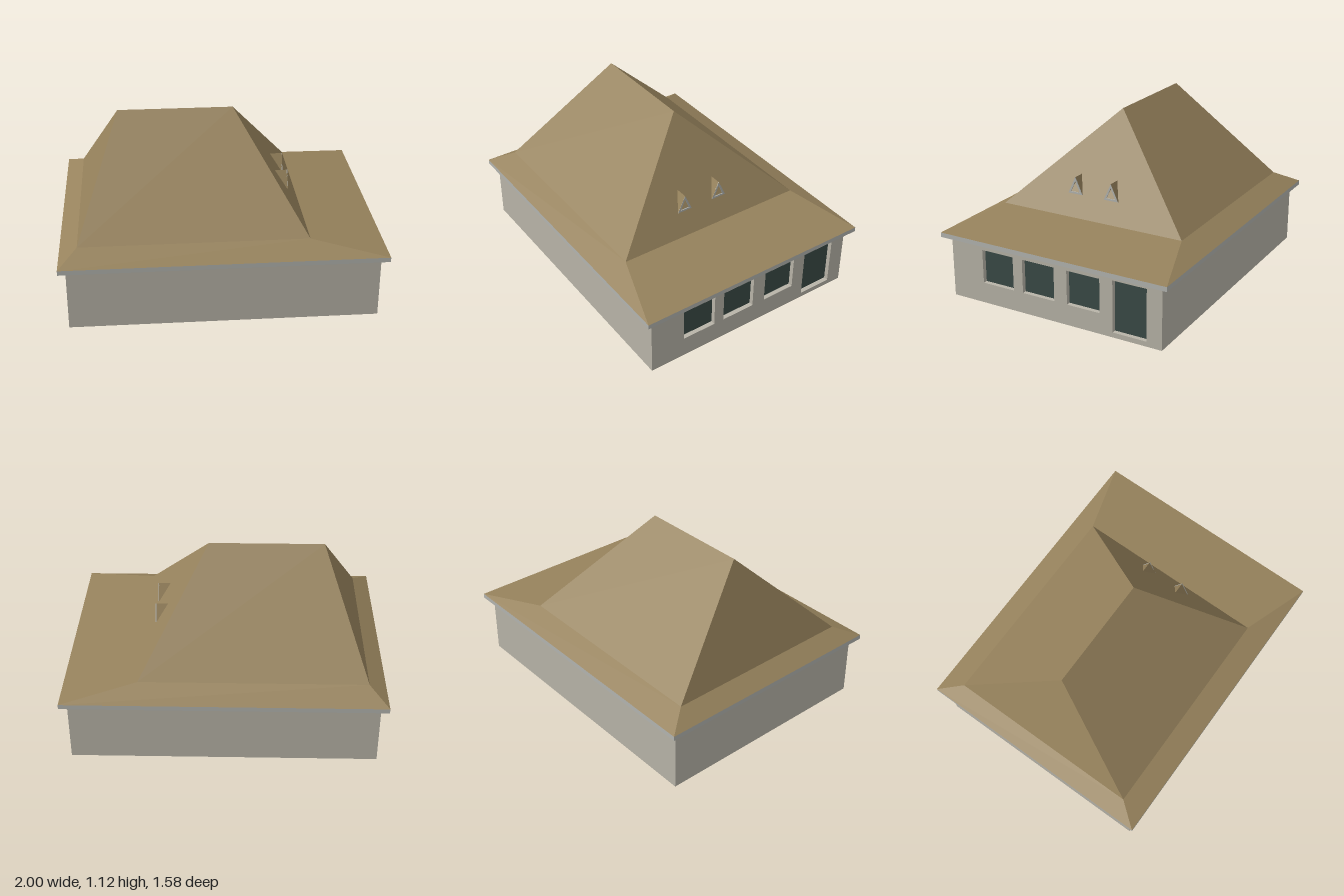
import * as THREE from 'three';

const wallMat = new THREE.MeshStandardMaterial({ color: 0xb8b4a8, side: THREE.DoubleSide });
const trimMat = new THREE.MeshStandardMaterial({ color: 0xb4b5b0, side: THREE.DoubleSide });
const roofMat = new THREE.MeshStandardMaterial({ color: 0x96825c, side: THREE.DoubleSide, flatShading: true });
const glassMat = new THREE.MeshStandardMaterial({ color: 0x3a4a46, side: THREE.DoubleSide });

// Flat polygons (3 or 4 corners, counter-clockwise from outside) as one geometry
function polygons(faces) {
  const pos = [];
  for (const f of faces)
    for (let i = 1; i < f.length - 1; i++) pos.push(...f[0], ...f[i], ...f[i + 1]);
  const g = new THREE.BufferGeometry();
  g.setAttribute('position', new THREE.Float32BufferAttribute(pos, 3));
  g.computeVertexNormals();
  return g;
}

function outline(points, Type = THREE.Shape) {
  return new Type(points.map(([x, y]) => new THREE.Vector2(x, y)));
}

const rect = (x0, y0, x1, y1) => [[x0, y0], [x1, y0], [x1, y1], [x0, y1]];

function add(parent, name, geometry, material) {
  const mesh = new THREE.Mesh(geometry, material);
  mesh.name = name;
  parent.add(mesh);
  return mesh;
}

// Extrude a drawing made in (-z, y) so that its front face lies at the given x
function extrudeToX(shape, depth, x) {
  return new THREE.ExtrudeGeometry(shape, { depth, bevelEnabled: false })
    .rotateY(Math.PI / 2).translate(x - depth, 0, 0);
}

const WX = 0.955, WZ = 0.74, WALL_TOP = 0.4, EAVE = 0.43, RECESS = 0.035;

// Openings in the entrance wall: [-z start, bottom, -z end, top]
const openings = [
  ['window', -0.51, 0.135, -0.283, 0.355],
  ['window', -0.215, 0.135, 0.012, 0.355],
  ['window', 0.102, 0.135, 0.328, 0.355],
  ['door', 0.415, 0.032, 0.64, 0.365],
];

function buildWalls(group) {
  const xi = WX - RECESS;
  add(group, 'plainWalls', polygons([
    [[-WX, 0, WZ], [xi, 0, WZ], [xi, WALL_TOP, WZ], [-WX, WALL_TOP, WZ]],
    [[xi, 0, -WZ], [-WX, 0, -WZ], [-WX, WALL_TOP, -WZ], [xi, WALL_TOP, -WZ]],
    [[-WX, 0, -WZ], [-WX, 0, WZ], [-WX, WALL_TOP, WZ], [-WX, WALL_TOP, -WZ]],
  ]), wallMat);

  const shape = outline(rect(-WZ, 0, WZ, WALL_TOP));
  for (const [name, a, b, c, d] of openings) {
    shape.holes.push(outline(rect(a, b, c, d), THREE.Path));
    const pane = new THREE.BoxGeometry(0.006, d - b, c - a);
    add(group, name, pane, glassMat).position.set(xi + 0.003, (b + d) / 2, -(a + c) / 2);
  }
  add(group, 'entranceWall', extrudeToX(shape, RECESS, WX), wallMat);
}

function buildRoof(group) {
  // Fascia and soffit ring
  const ring = outline(rect(-1, -0.79, 1, 0.79));
  ring.holes.push(outline(rect(-WX, -WZ, WX, WZ), THREE.Path));
  add(group, 'eaves', new THREE.ExtrudeGeometry(ring, { depth: EAVE - WALL_TOP, bevelEnabled: false })
    .rotateX(-Math.PI / 2).translate(0, WALL_TOP, 0), trimMat);

  // Rings of corners: front left, front right, back right, back left
  const ringAt = (x0, x1, y, z) => [[x0, y, z], [x1, y, z], [x1, y, -z], [x0, y, -z]];
  const levels = [
    ringAt(-1, 1, EAVE, 0.79),
    ringAt(-0.885, 0.53, 0.5, 0.64),
    ringAt(-0.62, 0.11, 1.12, 0),
  ];
  ['roofSkirt', 'roofSlopes'].forEach((name, k) => {
    const faces = [0, 1, 2, 3].map((i) => {
      const j = (i + 1) % 4;
      return [levels[k][i], levels[k][j], levels[k + 1][j], levels[k + 1][i]];
    });
    add(group, name, polygons(faces), roofMat);
  });
}

// Small triangular dormer with a framed, recessed pane
function buildDormer(z) {
  const dormer = new THREE.Group();
  dormer.name = 'dormer';
  const x = 0.45, y0 = 0.625, y1 = 0.735, w = 0.051;
  const foot = 0.44, tip = 0.37;
  add(dormer, 'dormerRoof', polygons([
    [[x, y0, w], [x, y1, 0], [tip, y1, 0], [foot, y0, w]],
    [[x, y1, 0], [x, y0, -w], [foot, y0, -w], [tip, y1, 0]],
  ]), roofMat);

  const inner = [[-0.032, y0 + 0.012], [0.032, y0 + 0.012], [0, y1 - 0.025]];
  const frame = outline([[-w, y0], [w, y0], [0, y1]]);
  frame.holes.push(outline(inner, THREE.Path));
  add(dormer, 'dormerFrame', extrudeToX(frame, 0.006, x + 0.001), trimMat);

  const pane = new THREE.ShapeGeometry(outline(inner)).rotateY(Math.PI / 2).translate(0.415, 0, 0);
  add(dormer, 'dormerPane', pane, trimMat);
  dormer.position.z = z;
  return dormer;
}

export function createModel() {
  const house = new THREE.Group();
  house.name = 'house';
  buildWalls(house);
  buildRoof(house);
  for (const z of [0.15, -0.108]) house.add(buildDormer(z));
  return house;
}
